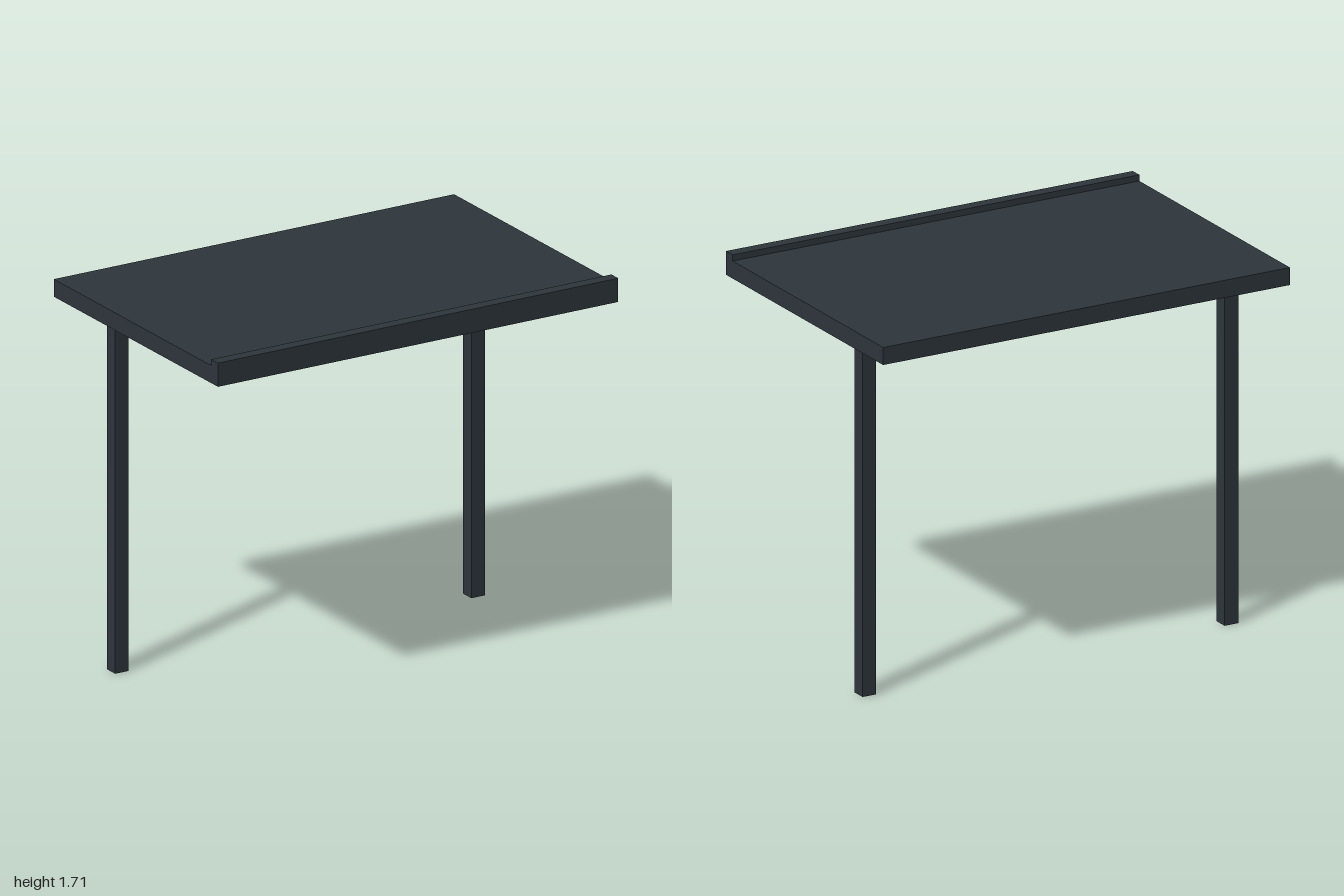
import * as THREE from 'three';

export function createModel() {
  const group = new THREE.Group();
  const anthracite = new THREE.MeshStandardMaterial({ name: 'anthracite', color: 0x2e363c });

  function box(name, [w, h, d], [x, y, z]) {
    const mesh = new THREE.Mesh(new THREE.BoxGeometry(w, h, d), anthracite);
    mesh.name = name;
    mesh.position.set(x, y, z);
    group.add(mesh);
  }

  // Roof slab with a raised lip along its front edge: side profile (z, y) swept along x
  const profile = new THREE.Shape([
    [-0.66, 1.603], [0.66, 1.603], [0.66, 1.71], [0.605, 1.71], [0.605, 1.682], [-0.66, 1.682],
  ].map(([z, y]) => new THREE.Vector2(-z, y)));
  const roofGeometry = new THREE.ExtrudeGeometry(profile, { depth: 2, bevelEnabled: false });
  roofGeometry.translate(0, 0, -1).rotateY(Math.PI / 2);
  const roof = new THREE.Mesh(roofGeometry, anthracite);
  roof.name = 'roof';
  group.add(roof);

  // Two square posts set toward the back
  for (const [name, side] of [['leftPost', 1], ['rightPost', -1]]) {
    box(name, [0.067, 1.603, 0.067], [side * 0.89, 0.8015, -0.323]);
  }

  return group;
}
